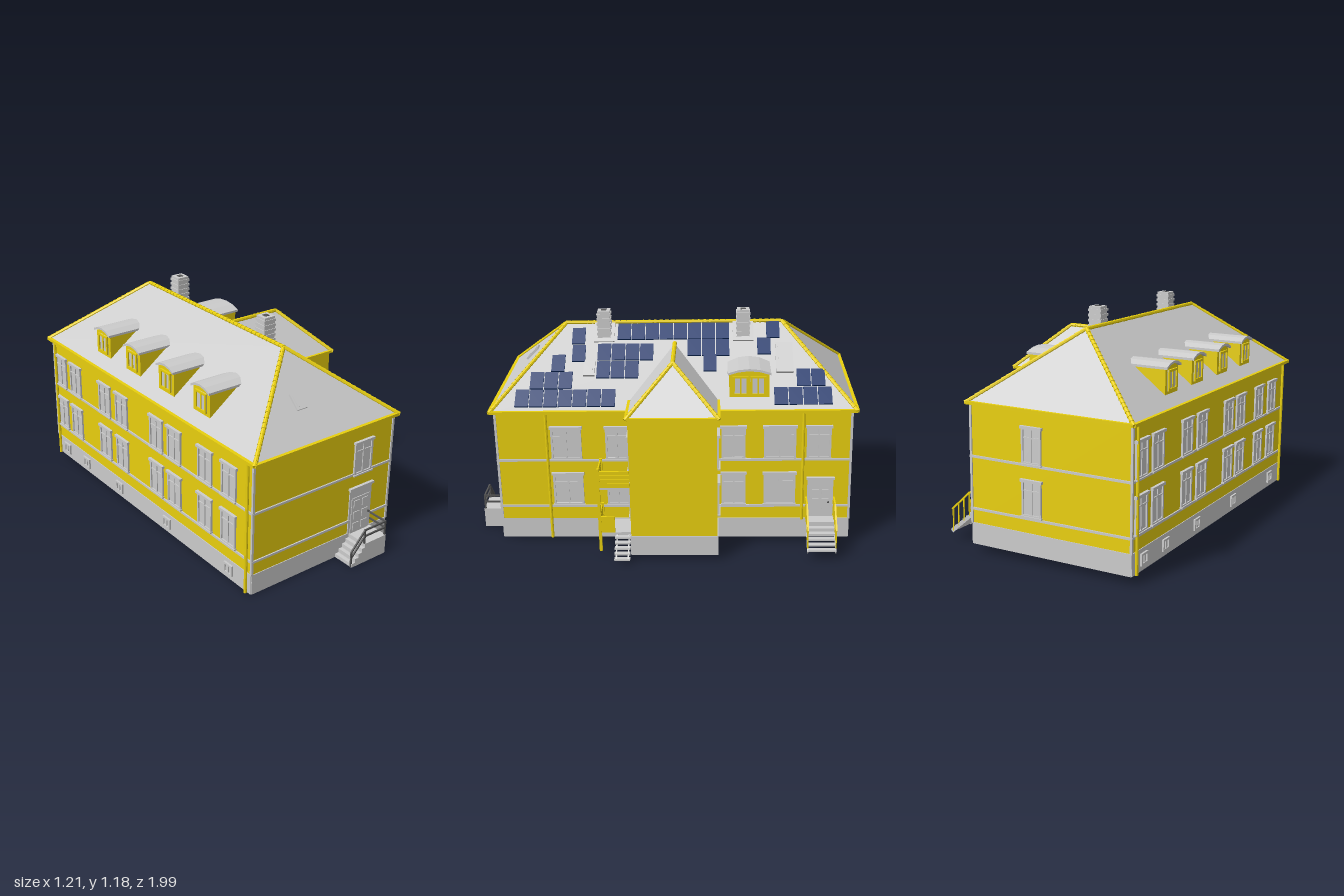
import * as THREE from 'three';

const mat = (color) => new THREE.MeshStandardMaterial({ color, side: THREE.DoubleSide, flatShading: true });
const GREY = mat(0xcccccc), YELLOW = mat(0xe8cf0e), BLUE = mat(0x0f326b), DARK = mat(0x555555);
const V = (x, y, z) => new THREE.Vector3(x, y, z);

function add(parent, name, geometry, material) {
  const m = new THREE.Mesh(geometry, material);
  m.name = name;
  parent.add(m);
  return m;
}
// Box given by its limits on each axis
function box(parent, name, material, x0, x1, y0, y1, z0, z1) {
  const m = add(parent, name, new THREE.BoxGeometry(x1 - x0, y1 - y0, z1 - z0), material);
  m.position.set((x0 + x1) / 2, (y0 + y1) / 2, (z0 + z1) / 2);
  return m;
}
// Square bar between two points
function beam(parent, name, material, a, b, w = 0.01, h = w) {
  const m = add(parent, name, new THREE.BoxGeometry(w, h, a.distanceTo(b)), material);
  m.position.copy(a).lerp(b, 0.5);
  m.lookAt(b);
  return m;
}
// Flat faces, each a fan of corners
function faces(parent, name, material, polys) {
  const p = [];
  for (const f of polys)
    for (let i = 1; i < f.length - 1; i++) for (const v of [f[0], f[i], f[i + 1]]) p.push(v.x, v.y, v.z);
  const g = new THREE.BufferGeometry();
  g.setAttribute('position', new THREE.Float32BufferAttribute(p, 3));
  g.computeVertexNormals();
  return add(parent, name, g, material);
}
// Overlapping half-round tiles along a hip or ridge
function ridgeTiles(parent, a, b) {
  const n = Math.round(a.distanceTo(b) / 0.03), d = b.clone().sub(a).normalize();
  const g = new THREE.CylinderGeometry(0.009, 0.012, a.distanceTo(b) / n + 0.006, 8);
  for (let i = 0; i < n; i++) {
    const m = add(parent, 'ridgeTile', g, YELLOW);
    m.position.lerpVectors(a, b, (i + 0.5) / n);
    m.quaternion.setFromUnitVectors(V(0, 1, 0), d);
  }
}
// Group on a wall, its own +z pointing outwards
function mount(parent, name, x, y, z, turn) {
  const g = new THREE.Group();
  g.name = name;
  g.position.set(x, y, z);
  g.rotation.y = turn;
  parent.add(g);
  return g;
}
// Framed window: jambs, lintel, sill, panes and glazing bars
function window_(parent, x, y, z, turn, w, h, frame = GREY, trim = true) {
  const g = mount(parent, 'window', x, y, z, turn), a = w / 2, b = h / 2, t = 0.011;
  box(g, 'pane', GREY, -a, a, -b, b, -0.004, 0.003);
  for (const s of [-1, 1]) box(g, 'jamb', frame, s * (a - t / 2) - t / 2, s * (a - t / 2) + t / 2, -b, b, 0, 0.01);
  box(g, 'head', frame, -a, a, b - t, b, 0, 0.01);
  box(g, 'bottomRail', frame, -a, a, -b, -b + t, 0, 0.01);
  box(g, 'mullion', frame, -0.004, 0.004, -b, b, 0, 0.008);
  if (trim) {
    box(g, 'transom', frame, -a, a, b * 0.4, b * 0.4 + 0.007, 0, 0.008);
    box(g, 'lintel', GREY, -a - 0.006, a + 0.006, b - 0.008, b + 0.006, 0, 0.016);
    box(g, 'sill', GREY, -a - 0.004, a + 0.004, -b - 0.004, -b + 0.004, 0, 0.016);
  }
}
// Panelled door
function door(parent, x, y, z, turn, w, h) {
  const g = mount(parent, 'door', x, y, z, turn), a = w / 2;
  box(g, 'doorFrame', GREY, -a, a, 0, h, -0.004, 0.006);
  box(g, 'doorLeaf', GREY, -a + 0.014, a - 0.014, 0, h * 0.78, 0, 0.01);
  box(g, 'doorHead', GREY, -a - 0.006, a + 0.006, h - 0.008, h + 0.005, 0, 0.016);
  for (const s of [-1, 1]) for (let i = 0; i < 3; i++) {
    const cx = s * w * 0.19, cy = h * (0.14 + i * 0.25);
    box(g, 'doorPanel', GREY, cx - w * 0.13, cx + w * 0.13, cy - h * 0.08, cy + h * 0.08, 0, 0.014);
  }
  box(g, 'handle', DARK, a - 0.03, a - 0.02, h * 0.37, h * 0.4, 0.01, 0.022);
}
// Dormer with a low curved roof
function dormer(parent, x, y, z, turn, w, h, depth) {
  const g = mount(parent, 'dormer', x, y, z, turn), a = w / 2, rise = 0.022;
  const arc = (half, base) => [-1, -0.5, 0, 0.5, 1].map((t) => new THREE.Vector2(t * half, base + rise * (1 - t * t)));
  const extrude = (pts, d) => new THREE.ExtrudeGeometry(new THREE.Shape(pts), { depth: d, bevelEnabled: false });
  const body = [new THREE.Vector2(a, -0.01), new THREE.Vector2(-a, -0.01), ...arc(a, h - rise)];
  add(g, 'dormerWalls', extrude(body, depth), YELLOW).position.z = -depth;
  const slab = [...arc(a + 0.008, h - rise), ...arc(a + 0.008, h - rise + 0.012).reverse()];
  add(g, 'dormerRoof', extrude(slab, depth + 0.025), GREY).position.z = -depth - 0.012;
  const n = w > 0.18 ? 2 : 1;
  for (let i = 0; i < n; i++)
    window_(g, (i - (n - 1) / 2) * w * 0.44, h * 0.46, 0, 0, n > 1 ? w * 0.4 : w * 0.66, h * 0.7, YELLOW, false);
}

export function createModel() {
  const root = new THREE.Group(), house = new THREE.Group();
  house.name = 'house';
  root.add(house);
  const X0 = -0.57, X1 = 0.322, Z0 = -0.98, Z1 = 0.86, H = Math.PI / 2;

  // Walls, belts and the open-bottomed plinth
  box(house, 'mainWalls', YELLOW, X0, X1, 0.13, 0.74, Z0, Z1);
  box(house, 'annexWalls', YELLOW, 0.3, 0.53, 0.13, 0.785, -0.29, 0.155);
  const skirt = (x0, x1, z0, z1) => {
    box(house, 'floor', GREY, x0, x1, 0.122, 0.132, z0, z1);
    for (const x of [x0, x1]) box(house, 'plinth', GREY, x - 0.004, x + 0.004, 0.022, 0.132, z0, z1);
    for (const z of [z0, z1]) box(house, 'plinth', GREY, x0, x1, 0.022, 0.132, z - 0.004, z + 0.004);
  };
  skirt(X0, X1, Z0, Z1);
  skirt(X1, 0.53, -0.29, 0.155);
  for (const y of [0.205, 0.47]) {
    box(house, 'belt', GREY, X0 - 0.007, X1 + 0.007, y - 0.006, y + 0.006, Z0 - 0.007, Z1 + 0.007);
  }
  for (const x of [X0, X1]) for (const z of [Z0, Z1])
    box(house, 'cornerTrim', GREY, x - 0.006, x + 0.006, 0.13, 0.735, z - 0.006, z + 0.006);

  // Main hipped roof
  const E = 0.74, R = 1.087, rx = -0.125;
  const FL = V(-0.588, E, 0.885), FR = V(0.333, E, 0.885), BR = V(0.333, E, -1.005), BL = V(-0.588, E, -1.005);
  const RF = V(rx, R, 0.52), RB = V(rx, R, -0.64);
  faces(house, 'mainRoof', GREY, [[FL, FR, RF], [FR, BR, RB, RF], [BR, BL, RB], [BL, FL, RF, RB], [FL, BL, BR, FR]]);
  for (const [a, b] of [[FL, RF], [FR, RF], [BL, RB], [BR, RB], [RF, RB]]) ridgeTiles(house, a, b);
  for (const [a, b] of [[FL, FR], [FR, BR], [BR, BL], [BL, FL]]) beam(house, 'gutter', YELLOW, a, b, 0.018, 0.016);

  // Annex roof
  const A = V(0.542, 0.78, 0.163), B = V(0.542, 0.78, -0.3), C = V(0.28, 0.78, 0.163), D = V(0.28, 0.78, -0.3);
  const Ro = V(0.317, 1.0, -0.068), Ri = V(-0.01, 1.0, -0.068);
  faces(house, 'annexRoof', GREY, [[A, Ro, Ri, C], [B, D, Ri, Ro], [A, B, Ro], [A, C, D, B]]);
  for (const [a, b] of [[A, Ro], [B, Ro], [Ri, Ro]]) ridgeTiles(house, a, b);
  for (const [a, b] of [[A, B], [C, A], [D, B]]) beam(house, 'annexGutter', YELLOW, a, b, 0.014);

  // Things lying on the right-hand slope
  const slope = (R - E) / (0.333 - rx), tilt = Math.atan(slope), roofY = (x) => E + (0.333 - x) * slope;
  const onSlope = (name, material, x, z, wx, wz, t) => {
    const m = add(house, name, new THREE.BoxGeometry(wx / Math.cos(tilt), t, wz), material);
    m.position.set(x, roofY(x) + 0.008, z);
    m.rotation.z = -tilt;
  };
  // Solar columns: x, first z, count
  const columns = [[0.265, -0.845, 4], [0.175, -0.815, 2], [0.015, -0.54, 1], [-0.07, -0.59, 1], [-0.066, -0.322, 8],
    [0.02, -0.322, 3], [0.098, -0.255, 1], [0.04, 0.08, 4], [0.13, 0.155, 3], [0.27, 0.27, 7], [0.182, 0.5, 3],
    [-0.045, 0.447, 1], [0.045, 0.44, 1], [0.095, 0.545, 1]];
  for (const [x, z, n] of columns)
    for (let i = 0; i < n; i++) onSlope('solarPanel', BLUE, x, z + i * 0.075, 0.083, 0.07, 0.008);
  for (const [x, z, wx, wz] of [[0.075, -0.645, 0.15, 0.09], [0.125, 0.38, 0.07, 0.06]]) {
    onSlope('skylightFrame', GREY, x, z, wx, wz, 0.014);
    onSlope('skylightGlass', GREY, x, z, wx - 0.03, wz - 0.025, 0.02);
  }
  for (const s of [0.062, 0.042]) {
    const m = add(house, 'frontSkylight', new THREE.BoxGeometry(s, 0.03 - s * 0.2, s * 1.4), GREY);
    m.position.set(-0.2, E + 0.16 * 0.95 + 0.003, 0.725);
    m.rotation.x = Math.atan(0.95);
  }

  // Chimneys in corbelled courses
  for (const z of [0.31, -0.432]) {
    onSlope('chimneyFlashing', GREY, -0.064, z, 0.1, 0.11, 0.008);
    for (let i = 0; i < 14; i++) {
      const r = i % 2 ? 0.033 : 0.037, y = 0.99 + i * 0.013;
      box(house, 'chimneyCourse', GREY, -0.066 - r, -0.066 + r, y, y + 0.013, z - r, z + r);
    }
    box(house, 'chimneyFlue', DARK, -0.08, -0.052, 1.17, 1.174, z - 0.014, z + 0.014);
  }

  // Dormers
  for (const z of [-0.505, -0.215, 0.09, 0.39]) dormer(house, -0.52, 0.79, z, -H, 0.135, 0.148, 0.2);
  dormer(house, 0.262, 0.785, -0.457, H, 0.205, 0.152, 0.19);

  // Windows and doors
  for (const y of [0.305, 0.565]) {
    for (const [z, w] of [[0.495, 0.16], [0.23, 0.12], [-0.375, 0.125], [-0.615, 0.165]]) window_(house, X1, y, z, H, w, 0.18);
    for (const z of [-0.9, -0.74, -0.43, -0.26, 0.07, 0.23, 0.49, 0.68]) window_(house, X0, y, z, -H, 0.115, 0.18);
    window_(house, -0.03, y, Z0, Math.PI, 0.11, 0.18);
    window_(house, 0.4, y - 0.01, 0.155, 0, 0.11, 0.185);
    window_(house, 0.41, y, -0.29, Math.PI, 0.1, 0.18);
  }
  window_(house, X1, 0.565, -0.815, H, 0.125, 0.18);
  window_(house, 0.125, 0.555, Z1, 0, 0.12, 0.18);
  for (const z of [0.69, 0.16, -0.3, -0.65, -0.87]) window_(house, X0 - 0.004, 0.08, z, -H, 0.065, 0.06, GREY, false);
  door(house, 0.125, 0.13, Z1, 0, 0.15, 0.26);
  door(house, X1, 0.145, -0.828, H, 0.135, 0.22);

  // Downpipes
  for (const [x, z, y0] of [[0.335, 0.595, 0.025], [0.335, -0.733, 0.13], [-0.582, -0.95, 0.022], [-0.582, 0.83, 0.022]])
    add(house, 'downpipe', new THREE.CylinderGeometry(0.008, 0.008, 0.735 - y0, 8), YELLOW).position.set(x, (y0 + 0.735) / 2, z);

  // Front porch with side steps and railing
  box(house, 'porch', GREY, 0.06, 0.205, 0.022, 0.13, Z1, 0.985);
  for (let i = 0; i < 4; i++)
    box(house, 'porchStep', GREY, 0.04 - i * 0.022, 0.062 - i * 0.022, 0.022, 0.108 - i * 0.022, Z1, 0.985);
  for (const y of [0, -0.035]) {
    beam(house, 'porchRail', DARK, V(-0.028, 0.108 + y, 0.978), V(0.06, 0.207 + y, 0.978), 0.008);
    beam(house, 'porchRail', DARK, V(0.06, 0.207 + y, 0.978), V(0.205, 0.207 + y, 0.978), 0.008);
    beam(house, 'porchRail', DARK, V(0.201, 0.207 + y, 0.978), V(0.201, 0.207 + y, Z1), 0.008);
  }
  for (const [x, y0, y1] of [[-0.026, 0.025, 0.108], [0.06, 0.13, 0.207], [0.201, 0.13, 0.207]])
    beam(house, 'porchPost', DARK, V(x, y0, 0.978), V(x, y1, 0.978), 0.008);

  // Back stair with yellow railings
  box(house, 'stairLanding', GREY, X1, 0.4, 0.132, 0.145, -0.9, -0.755);
  for (let i = 0; i < 5; i++)
    box(house, 'stairTread', GREY, 0.4 + i * 0.023, 0.427 + i * 0.023, 0.113 - i * 0.02, 0.121 - i * 0.02, -0.9, -0.755);
  for (const z of [-0.9, -0.755]) {
    beam(house, 'stringer', GREY, V(0.395, 0.13, z), V(0.515, 0.027, z), 0.006, 0.02);
    beam(house, 'stairRail', YELLOW, V(X1, 0.25, z), V(0.4, 0.25, z), 0.009);
    beam(house, 'stairRail', YELLOW, V(0.4, 0.25, z), V(0.51, 0.145, z), 0.009);
    for (let i = 0; i < 6; i++) {
      const x = 0.335 + i * 0.034, d = Math.max(0, x - 0.4) * 0.95;
      beam(house, 'baluster', YELLOW, V(x, 0.13 - d, z), V(x, 0.25 - d, z), 0.006);
    }
  }

  // Two-storey balcony beside the annex
  beam(house, 'balconyPost', YELLOW, V(0.48, 0.022, 0.32), V(0.48, 0.488, 0.32), 0.015);
  for (const [y, zEnd] of [[0.13, 0.242], [0.385, 0.16]]) {
    box(house, 'balconyFloor', GREY, X1, 0.485, y - 0.012, y, 0.155, 0.325);
    for (let i = 0; i < 4; i++) {
      const a = y + i * 0.023;
      box(house, 'balconySlat', YELLOW, X1, 0.485, a, a + 0.021, 0.318, 0.325);
      box(house, 'balconySlat', YELLOW, 0.478, 0.485, a, a + 0.021, zEnd, 0.325);
    }
    box(house, 'balconyWallPost', YELLOW, X1, X1 + 0.014, y, y + 0.095, 0.312, 0.327);
  }

  // Steps down from the balcony
  for (let i = 0; i < 5; i++)
    box(house, 'gardenStep', GREY, 0.483 + i * 0.022, 0.508 + i * 0.022, 0.103 - i * 0.02, 0.112 - i * 0.02, 0.16, 0.242);
  for (const z of [0.17, 0.232]) beam(house, 'gardenStringer', GREY, V(0.47, 0.115, z), V(0.59, 0.022, z), 0.006, 0.02);

  // Slight lie of the whole building on its site
  house.rotation.set(0.022, 0.012, 0);
  return root;
}
